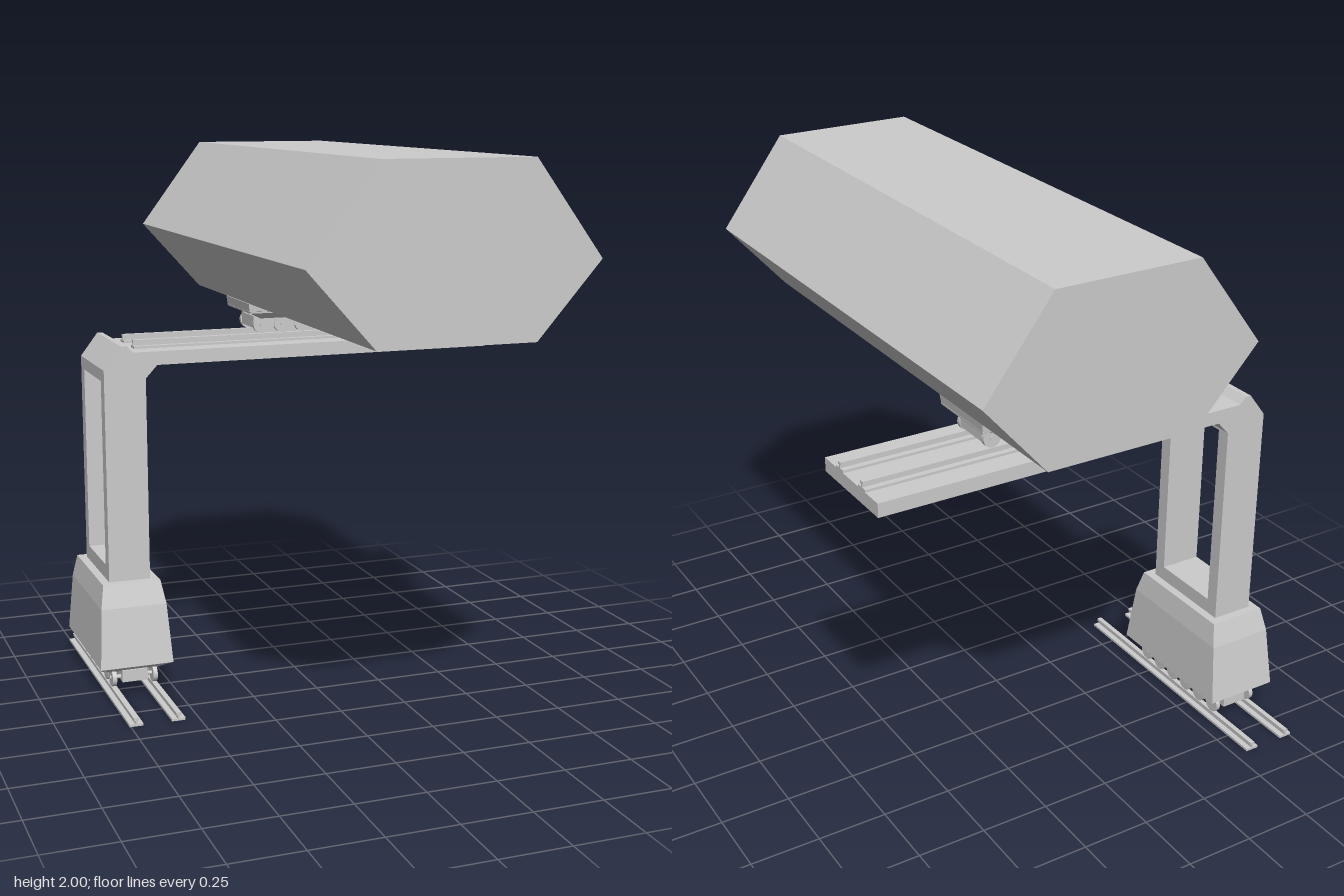
import * as THREE from 'three';

const grey = new THREE.MeshStandardMaterial({ color: 0xcccccc, flatShading: true });
const smooth = new THREE.MeshStandardMaterial({ color: 0xcccccc });

function add(parent, name, geometry, x = 0, y = 0, z = 0, material = grey) {
  const mesh = new THREE.Mesh(geometry, material);
  mesh.name = name;
  mesh.position.set(x, y, z);
  parent.add(mesh);
  return mesh;
}

// Box given by its limits
function block(parent, name, x0, x1, y0, y1, z0, z1) {
  return add(parent, name, new THREE.BoxGeometry(x1 - x0, y1 - y0, z1 - z0),
    (x0 + x1) / 2, (y0 + y1) / 2, (z0 + z1) / 2);
}

// Profile in x/y, extruded from z0 to z1
function prism(parent, name, points, z0, z1) {
  const shape = new THREE.Shape(points.map(([x, y]) => new THREE.Vector2(x, y)));
  const geometry = new THREE.ExtrudeGeometry(shape, { depth: z1 - z0, bevelEnabled: false });
  return add(parent, name, geometry, 0, 0, z0);
}

// Stack of rectangular sections [y, halfX, halfZ], closed at both ends
function loft(sections) {
  const positions = [];
  const index = [];
  for (const [y, a, b] of sections) positions.push(-a, y, b, a, y, b, a, y, -b, -a, y, -b);
  for (let s = 0; s < sections.length - 1; s++) {
    for (let i = 0; i < 4; i++) {
      const p = s * 4 + i, q = s * 4 + (i + 1) % 4;
      index.push(p, q, q + 4, p, q + 4, p + 4);
    }
  }
  const t = (sections.length - 1) * 4;
  index.push(0, 2, 1, 0, 3, 2, t, t + 1, t + 2, t, t + 2, t + 3);
  const indexed = new THREE.BufferGeometry();
  indexed.setAttribute('position', new THREE.Float32BufferAttribute(positions, 3));
  indexed.setIndex(index);
  const geometry = indexed.toNonIndexed();
  geometry.computeVertexNormals();
  return geometry;
}

// Pair of flanged rails along x
function rails(length) {
  const group = new THREE.Group();
  group.name = 'rails';
  for (const z of [-0.0775, 0.0775]) {
    const h = length / 2;
    block(group, 'railFoot', -h, h, 0, 0.009, z - 0.025, z + 0.025);
    block(group, 'railWeb', -h, h, 0.009, 0.02, z - 0.004, z + 0.004);
    block(group, 'railHead', -h, h, 0.02, 0.03, z - 0.009, z + 0.009);
  }
  return group;
}

// Twelve-wheeled truck running along x
function truck(halfBox) {
  const group = new THREE.Group();
  group.name = 'truck';
  block(group, 'truckFrame', -0.235, 0.235, 0.05, 0.095, -halfBox, halfBox);
  add(group, 'truckBolster', loft([[0.088, 0.215, 0.093], [0.12, 0.272, 0.137]]));
  const wheel = new THREE.CylinderGeometry(0.033, 0.033, 0.016, 24).rotateX(Math.PI / 2);
  const axle = new THREE.CylinderGeometry(0.008, 0.008, 0.18, 10).rotateX(Math.PI / 2);
  for (let i = 0; i < 6; i++) {
    const x = (i - 2.5) * 0.0825;
    add(group, 'axle', axle, x, 0.065, 0, smooth);
    for (const z of [-0.0775, 0.0775]) add(group, 'wheel', wheel, x, 0.064, z, smooth);
  }
  // Side bars tying the axles together
  for (const z of [-0.0775, 0.0775]) {
    block(group, 'axleBar', -0.215, 0.215, 0.056, 0.074, z - 0.006, z + 0.006);
  }
  return group;
}

export function createModel() {
  const model = new THREE.Group();
  model.name = 'gantry';
  const zc = -0.417, xLeg = -0.6525, z0 = -0.603, z1 = -0.232;

  // Ground rails and lower truck, turned to run along z
  const ground = new THREE.Group();
  ground.name = 'groundRunningGear';
  ground.rotation.y = Math.PI / 2;
  ground.position.set(xLeg, 0, zc);
  const groundRails = rails(0.995);
  groundRails.position.x = -0.052;
  ground.add(groundRails, truck(0.048));
  model.add(ground);

  // Tapered base housing
  add(model, 'baseHousing',
    loft([[0.12, 0.137, 0.275], [0.34, 0.123, 0.243], [0.425, 0.108, 0.218]]), xLeg, 0, zc);

  // Portal leg with an open middle
  block(model, 'legSill', -0.73, -0.575, 0.42, 0.48, z0, z1);
  block(model, 'legPost', -0.73, -0.575, 0.42, 1.17, z0, z0 + 0.05);
  block(model, 'legPost', -0.73, -0.575, 0.42, 1.17, z1 - 0.05, z1);

  // Cantilever beam with ridged shoulder
  prism(model, 'beam', [
    [-0.73, 1.17], [-0.575, 1.17], [-0.575, 1.225], [0.785, 1.225], [0.785, 1.275],
    [-0.62, 1.275], [-0.645, 1.3], [-0.665, 1.3], [-0.73, 1.215],
  ], z0, z1);

  // Three haunches under the beam
  for (const [a, b] of [[z0, z0 + 0.09], [zc - 0.044, zc + 0.044], [z1 - 0.09, z1]]) {
    prism(model, 'haunch', [[-0.577, 1.178], [-0.575, 1.178], [-0.53, 1.226], [-0.577, 1.226]], a, b);
  }

  // Beam rails and upper truck
  const beamRails = rails(1.38);
  beamRails.position.set(0.095, 1.275, zc);
  const upperTruck = truck(0.072);
  upperTruck.position.set(0.11, 1.275, zc);
  model.add(beamRails, upperTruck);
  add(model, 'turntablePlate', loft([[1.388, 0.27, 0.135], [1.426, 0.275, 0.138]]), 0.11, 0, zc);

  // Six-sided body, with a bay open underneath its front part
  const upper = [[0.385, 1.425], [0.61, 1.68], [0.37, 2], [-0.15, 2], [-0.39, 1.68], [-0.16, 1.425]];
  const bay = [[-0.12, 1.425], [-0.12, 1.62], [0.345, 1.62], [0.345, 1.425]];
  prism(model, 'bodyRear', upper, -0.94, -0.2);
  prism(model, 'bodyMiddle', [...upper, ...bay], -0.2, 0.89);
  prism(model, 'bodyFront', upper, 0.89, 0.94);
  block(model, 'bayBar', 0.08, 0.14, 1.52, 1.58, -0.2, 0.8);

  return model;
}
